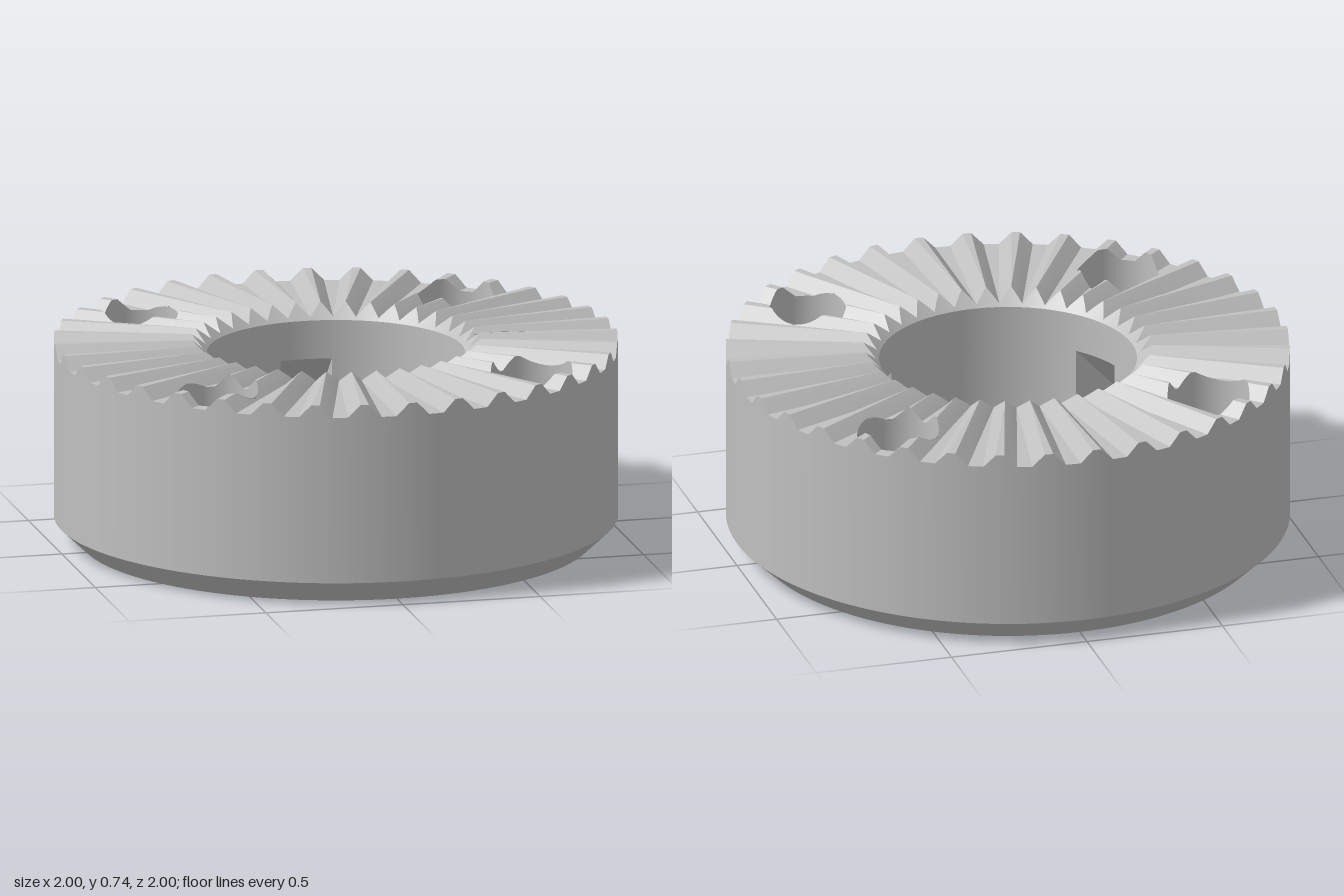
import * as THREE from 'three';

const TAU = Math.PI * 2;
const TEETH = 36, PITCH = TAU / TEETH;
const RIDGE = 0.735, VALLEY = 0.69;            // tooth heights
const BORE = 0.457, RECESS = 0.65, RIM_Y = 0.68;
const HOLE_POS = 0.573, HOLE_R = 0.083, SEAT_R = 0.145, SEAT_Y = 0.45;
const SLOT_HALF = 0.094;

const lerp = (a, b, t) => a + (b - a) * t;
const polar = (r, a, y) => [r * Math.cos(a), y, r * Math.sin(a)];

// Ruled surface between two rows of points; faces along (row direction) x (b - a)
function strip(a, b, flat = false) {
  const n = a.length, index = [];
  for (let i = 0; i < n - 1; i++) index.push(i, i + 1, n + i + 1, i, n + i + 1, n + i);
  let g = new THREE.BufferGeometry();
  g.setAttribute('position', new THREE.Float32BufferAttribute([...a, ...b].flat(), 3));
  g.setIndex(index);
  if (flat) g = g.toNonIndexed();
  g.computeVertexNormals();
  return g;
}

// Arc of points at one radius and height
function arc(r, y, from = 0, to = TAU, n = 128) {
  return Array.from({ length: n + 1 }, (_, i) => polar(r, lerp(from, to, i / n), y));
}

// Angles within one pitch where the tooth profile changes slope
function breaks(r) {
  const half = Math.min(0.0225, (r * PITCH) / 4) / r;
  const c = PITCH * (0.5 + 0.14 * Math.max(0, r - 0.5));
  return [-half, half, c - half, c + half, PITCH - half];
}
const LEVELS = [RIDGE, VALLEY, VALLEY, RIDGE, RIDGE];

// Height of the toothed face at a point
function toothHeight(x, z) {
  const b = breaks(Math.hypot(x, z));
  let a = Math.atan2(z, x) - b[0];
  a = b[0] + (((a % PITCH) + PITCH) % PITCH);
  for (let k = 0; k < 4; k++) {
    if (a <= b[k + 1]) return lerp(LEVELS[k], LEVELS[k + 1], (a - b[k]) / Math.max(1e-6, b[k + 1] - b[k]));
  }
  return RIDGE;
}

// Lines running out along the teeth, each split where it crosses a screw seat
function toothLines(steps) {
  const rows = { inner: [], holeIn: [], holeOut: [], outer: [] };
  for (let i = 0; i <= TEETH * 4 * steps; i++) {
    const tooth = Math.floor(i / (4 * steps)), k = Math.floor(i / steps) % 4, t = (i % steps) / steps;
    const y = lerp(LEVELS[k], LEVELS[k + 1], t);
    const at = (r) => {
      const b = breaks(r);
      return polar(r, tooth * PITCH + lerp(b[k], b[k + 1], t), y);
    };
    const p = at(BORE + y - RIM_Y), q = at(1);
    const dx = q[0] - p[0], dz = q[2] - p[2], len = Math.hypot(dx, dz);
    const hx = Math.sign(p[0] + q[0]) * HOLE_POS - p[0], hz = Math.sign(p[2] + q[2]) * HOLE_POS - p[2];
    const mid = (hx * dx + hz * dz) / len;
    const off = (hx * dz - hz * dx) / len;
    const half = Math.sqrt(Math.max(0, SEAT_R ** 2 - off ** 2));
    const along = (d) => {
      const s = Math.min(1, Math.max(0, d / len));
      return [p[0] + dx * s, y, p[2] + dz * s];
    };
    rows.inner.push(p);
    rows.holeIn.push(along(mid - half));
    rows.holeOut.push(along(mid + half));
    rows.outer.push(q);
  }
  return rows;
}

export function createModel() {
  const model = new THREE.Group();
  const steel = new THREE.MeshStandardMaterial({ color: 0xc0c0c0, side: THREE.DoubleSide });
  steel.name = 'steel grey';
  const add = (name, geometry, parent = model) => {
    const mesh = new THREE.Mesh(geometry, steel);
    mesh.name = name;
    parent.add(mesh);
    return mesh;
  };

  // Toothed top face
  const rows = toothLines(12);
  add('teethInner', strip(rows.inner, rows.holeIn, true));
  add('teethOuter', strip(rows.holeOut, rows.outer, true));
  const drop = (r, y) => (p) => polar(r, Math.atan2(p[2], p[0]), y);
  add('boreChamfer', strip(rows.inner.map(drop(BORE, RIM_Y)), rows.inner));

  // Outer wall and bottom chamfer
  add('outerWall', strip(rows.outer, rows.outer.map(drop(1, 0.085))));
  add('bottomChamfer', strip(arc(1, 0.085), arc(0.91, 0)));

  // Underside with screw holes
  const base = new THREE.Shape().absarc(0, 0, 0.91, 0, TAU);
  base.holes.push(new THREE.Path().absarc(0, 0, RECESS, 0, TAU, true));
  for (const sx of [-1, 1]) for (const sz of [-1, 1]) {
    base.holes.push(new THREE.Path().absarc(sx * HOLE_POS, sz * HOLE_POS, HOLE_R, 0, TAU, true));
  }
  add('underside', new THREE.ShapeGeometry(base, 64).rotateX(Math.PI / 2));
  add('recessWall', strip(arc(RECESS, 0), arc(RECESS, 0.086)));

  // Bore, conical seat and three drive slots
  const CONE_TOP = 0.28, CONE_LOW = 0.086, SLOT_TOP = 0.54, SLOT_LOW = 0.347;
  const edge = (r) => Math.asin(SLOT_HALF / r);
  for (let k = 0; k < 3; k++) {
    const a = Math.PI / 6 + (k * TAU) / 3;
    const wall = (r, y) => arc(r, y, a + edge(r), a + TAU / 3 - edge(r), 40);
    const slot = (r, y) => arc(r, y, a - edge(r), a + edge(r), 12);
    add('boreWall', strip(wall(BORE, CONE_TOP), wall(BORE, RIM_Y)));
    add('boreCone', strip(wall(RECESS, CONE_LOW), wall(BORE, CONE_TOP)));

    const group = new THREE.Group();
    group.name = 'driveSlot';
    model.add(group);
    add('wallAboveSlot', strip(slot(BORE, SLOT_TOP), slot(BORE, RIM_Y)), group);
    add('slotCeiling', strip(slot(RECESS, SLOT_LOW), slot(BORE, SLOT_TOP)), group);
    add('slotBack', strip(slot(RECESS, CONE_LOW), slot(RECESS, SLOT_LOW)), group);
    for (const s of [-1, 1]) {
      const near = [SLOT_TOP, CONE_TOP].map((y) => polar(BORE, a + s * edge(BORE), y));
      const far = [SLOT_LOW, CONE_LOW].map((y) => polar(RECESS, a + s * edge(RECESS), y));
      add('slotSide', s < 0 ? strip(near, far) : strip(far, near), group);
    }
  }

  // Counterbored screw holes
  for (const sx of [-1, 1]) for (const sz of [-1, 1]) {
    const cx = sx * HOLE_POS, cz = sz * HOLE_POS;
    const group = new THREE.Group();
    group.name = 'screwHole';
    group.position.set(cx, 0, cz);
    model.add(group);
    const rim = arc(SEAT_R, 0, 0, TAU, 160).map(([x, , z]) => [x, toothHeight(cx + x, cz + z), z]);
    add('seatWall', strip(arc(SEAT_R, SEAT_Y, 0, TAU, 160), rim), group);
    add('seatFloor', new THREE.RingGeometry(HOLE_R, SEAT_R, 64).rotateX(-Math.PI / 2), group).position.y = SEAT_Y;
    add('holeWall', strip(arc(HOLE_R, 0, 0, TAU, 64), arc(HOLE_R, SEAT_Y, 0, TAU, 64)), group);
  }
  return model;
}
